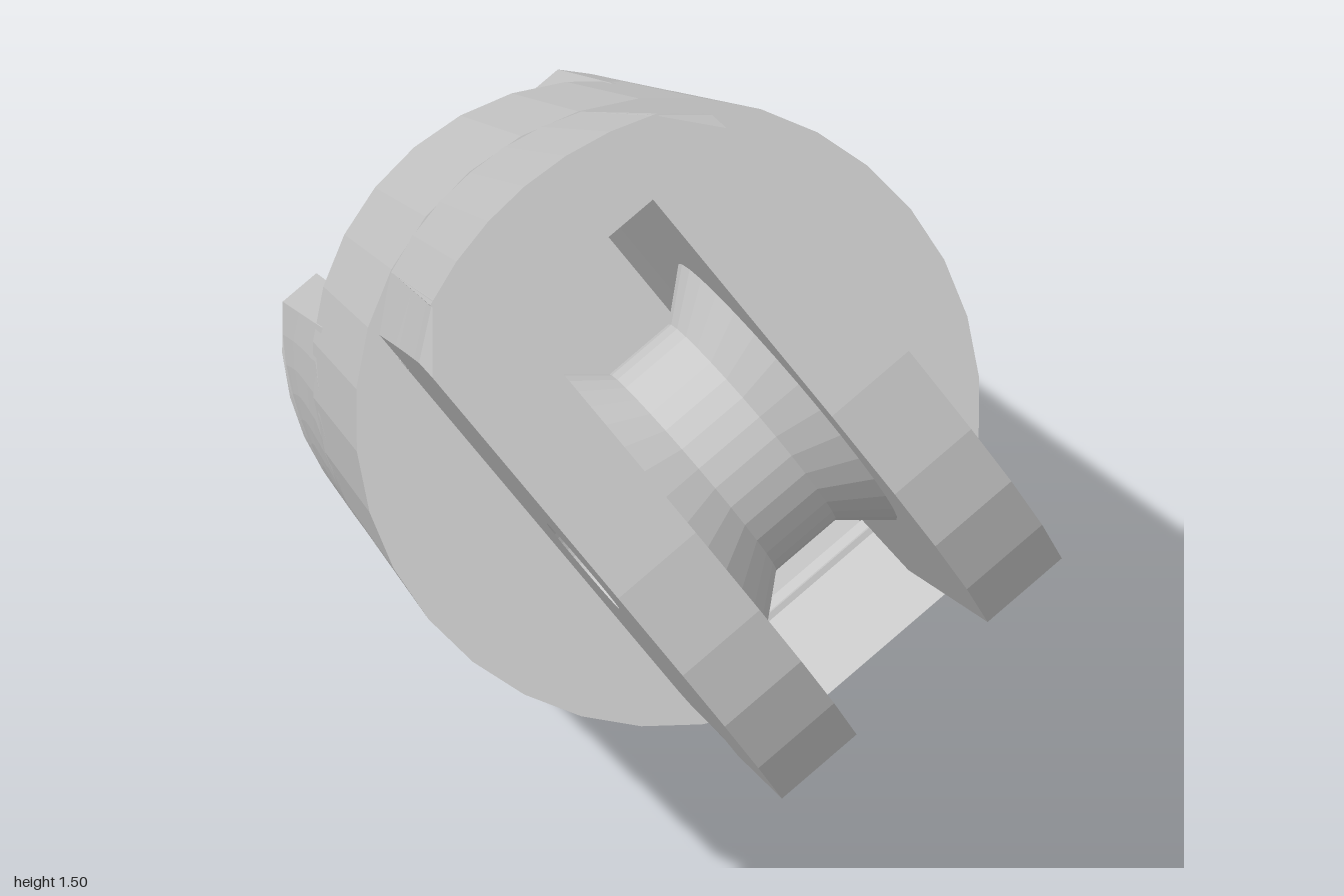
import * as THREE from 'three';

// Local frame: z runs along the body, x along both hinge pins
const SHOULDER = 0.617, TIP = 1.3, FRONT_PIN = 1.012, REAR_PIN = -0.36;
const bodyRadius = z => 0.424 + 0.012 * z;
const tongueRadius = z => 0.43 + 0.05 * (z - SHOULDER);

function flat(geometry) {
  const g = geometry.index ? geometry.toNonIndexed() : geometry;
  g.computeVertexNormals();
  return g;
}

// Plate with a round hole: rays run from the hole to the [y, z] outline
function holedPlate(outline, pinZ, holeRadius, inX, outX, side) {
  const rim = [];
  outline.forEach(([y, z], i) => {
    const [y2, z2] = outline[(i + 1) % outline.length];
    const steps = Math.max(1, Math.ceil(Math.hypot(y2 - y, z2 - z) / 0.08));
    for (let k = 0; k < steps; k++) {
      rim.push([y + (y2 - y) * k / steps, z + (z2 - z) * k / steps]);
    }
  });
  const rings = 7, pos = [];
  const point = (i, k, outer) => {
    const [ry, rz] = rim[i % rim.length];
    const len = Math.hypot(ry, rz - pinZ);
    const r = holeRadius + (len - holeRadius) * k / rings;
    const y = ry / len * r, z = pinZ + (rz - pinZ) / len * r;
    return [side * (outer ? outX(y, z) : inX), y, z];
  };
  const quad = (a, b, c, d) => {
    const order = side > 0 ? [a, b, c, a, c, d] : [a, c, b, a, d, c];
    order.forEach(p => pos.push(...p));
  };
  for (let i = 0; i < rim.length; i++) {
    for (let k = 0; k < rings; k++) {
      quad(point(i, k, 1), point(i, k + 1, 1), point(i + 1, k + 1, 1), point(i + 1, k, 1));
      quad(point(i, k, 0), point(i + 1, k, 0), point(i + 1, k + 1, 0), point(i, k + 1, 0));
    }
    quad(point(i, rings, 0), point(i + 1, rings, 0), point(i + 1, rings, 1), point(i, rings, 1));
    quad(point(i, 0, 0), point(i, 0, 1), point(i + 1, 0, 1), point(i + 1, 0, 0));
  }
  const g = new THREE.BufferGeometry();
  g.setAttribute('position', new THREE.Float32BufferAttribute(pos, 3));
  return flat(g);
}

// Round body section with a rectangular pocket
function bodySection(z0, z1, halfX, lowY, highY) {
  const shape = new THREE.Shape();
  const sides = 32;
  for (let i = 0; i < sides; i++) {
    const a = i / sides * Math.PI * 2;
    shape[i ? 'lineTo' : 'moveTo'](Math.cos(a), Math.sin(a));
  }
  const r = bodyRadius((z0 + z1) / 2);
  const corners = [[-halfX, lowY], [-halfX, highY], [halfX, highY], [halfX, lowY]];
  shape.holes.push(new THREE.Path(corners.map(([x, y]) => new THREE.Vector2(x / r, y / r))));
  const g = new THREE.ExtrudeGeometry(shape, { depth: z1 - z0, bevelEnabled: false });
  g.translate(0, 0, z0);
  const p = g.attributes.position;
  for (let i = 0; i < p.count; i++) {
    const z = p.getZ(i), s = bodyRadius(z);
    p.setXY(i, p.getX(i) * s, p.getY(i) * s);
    // the underside of the rear floor slopes forward
    if (z0 < 0 && z < z0 + 0.001) p.setZ(i, z0 + Math.max(0, -0.25 - p.getY(i)) * 0.9);
  }
  return flat(g);
}

export function createModel() {
  const grey = new THREE.MeshStandardMaterial({ color: 0xc8c8c8 });
  const joint = new THREE.Group();
  const add = (name, geometry) => {
    const mesh = new THREE.Mesh(geometry, grey);
    mesh.name = name;
    joint.add(mesh);
    return mesh;
  };

  // Body in two pocketed halves with a wall between
  add('rearBody', bodySection(-0.06, 0.3, 0.17, -0.22, 0.22));
  add('frontBody', bodySection(0.3, SHOULDER, 0.11, -0.3, 0.35));
  add('bulkhead', new THREE.BoxGeometry(0.4, 0.72, 0.04)).position.z = 0.3;

  // Front tongue plates and rear fork prongs
  const tongue = [
    [0.395, 0.6], [0.43, TIP], [0, TIP], [-0.13, 1.285], [-0.22, 1.26],
    [-0.3, 1.215], [-0.37, 1.14], [-0.37, 0.6],
  ];
  const prong = [
    [0.3, -0.64], [0.32, 0.04], [-0.36, 0.04], [-0.35, -0.06], [-0.3, -0.35],
    [-0.25, -0.46], [-0.16, -0.55], [-0.05, -0.61], [0.05, -0.64],
  ];
  const tongueX = (y, z) => Math.min(0.235, Math.sqrt(tongueRadius(z) ** 2 - y * y));
  const prongX = (y, z) => Math.sqrt((bodyRadius(z) - 0.001) ** 2 - y * y);
  for (const side of [1, -1]) {
    const label = side > 0 ? 'left' : 'right';
    add(label + 'TonguePlate', holedPlate(tongue, FRONT_PIN, 0.072, 0.11, tongueX, side));
    add(label + 'Prong', holedPlate(prong, REAR_PIN, 0.065, 0.217, prongX, side));
  }

  // Arched bridge closing the top of the slot
  const arch = new THREE.Shape();
  arch.moveTo(-0.165, 0.35);
  arch.lineTo(0.165, 0.35);
  for (let i = 0; i <= 6; i++) {
    const a = 0.4 - 0.8 * i / 6;
    arch.lineTo(0.43 * Math.sin(a), 0.43 * Math.cos(a));
  }
  const bridge = new THREE.ExtrudeGeometry(arch, { depth: TIP - 0.6, bevelEnabled: false });
  bridge.translate(0, 0, 0.6);
  const bp = bridge.attributes.position;
  for (let i = 0; i < bp.count; i++) {
    const s = tongueRadius(bp.getZ(i)) / 0.43;
    const y = bp.getY(i);
    bp.setXY(i, bp.getX(i) * s, y < 0.36 ? y : y * s);
  }
  add('tongueBridge', flat(bridge));

  // Sloping lip at the bottom of the slot
  const lipShape = new THREE.Shape([[-0.6, -0.418], [-0.6, -0.29], [-0.71, -0.418]]
    .map(([x, y]) => new THREE.Vector2(x, y)));
  const lip = new THREE.ExtrudeGeometry(lipShape, { depth: 0.26, bevelEnabled: false });
  lip.translate(0, 0, -0.13);
  lip.rotateY(Math.PI / 2);
  add('slotLip', flat(lip));

  // Hollow flared spool around the front pin
  const profile = [
    [0.072, -0.115], [0.22, -0.115], [0.165, -0.05], [0.165, 0.05],
    [0.22, 0.115], [0.072, 0.115], [0.072, -0.115],
  ].map(([r, h]) => new THREE.Vector2(r, h));
  const spool = new THREE.LatheGeometry(profile, 32);
  spool.rotateZ(Math.PI / 2);
  add('pinSpool', flat(spool)).position.z = FRONT_PIN;

  // Roll about the body axis, then tip the front upward
  joint.name = 'hingeLink';
  joint.rotation.set(-24.2 * Math.PI / 180, 0, 35.4 * Math.PI / 180, 'XYZ');
  joint.position.set(0, 0.552, -0.248);
  const model = new THREE.Group();
  model.add(joint);
  return model;
}
